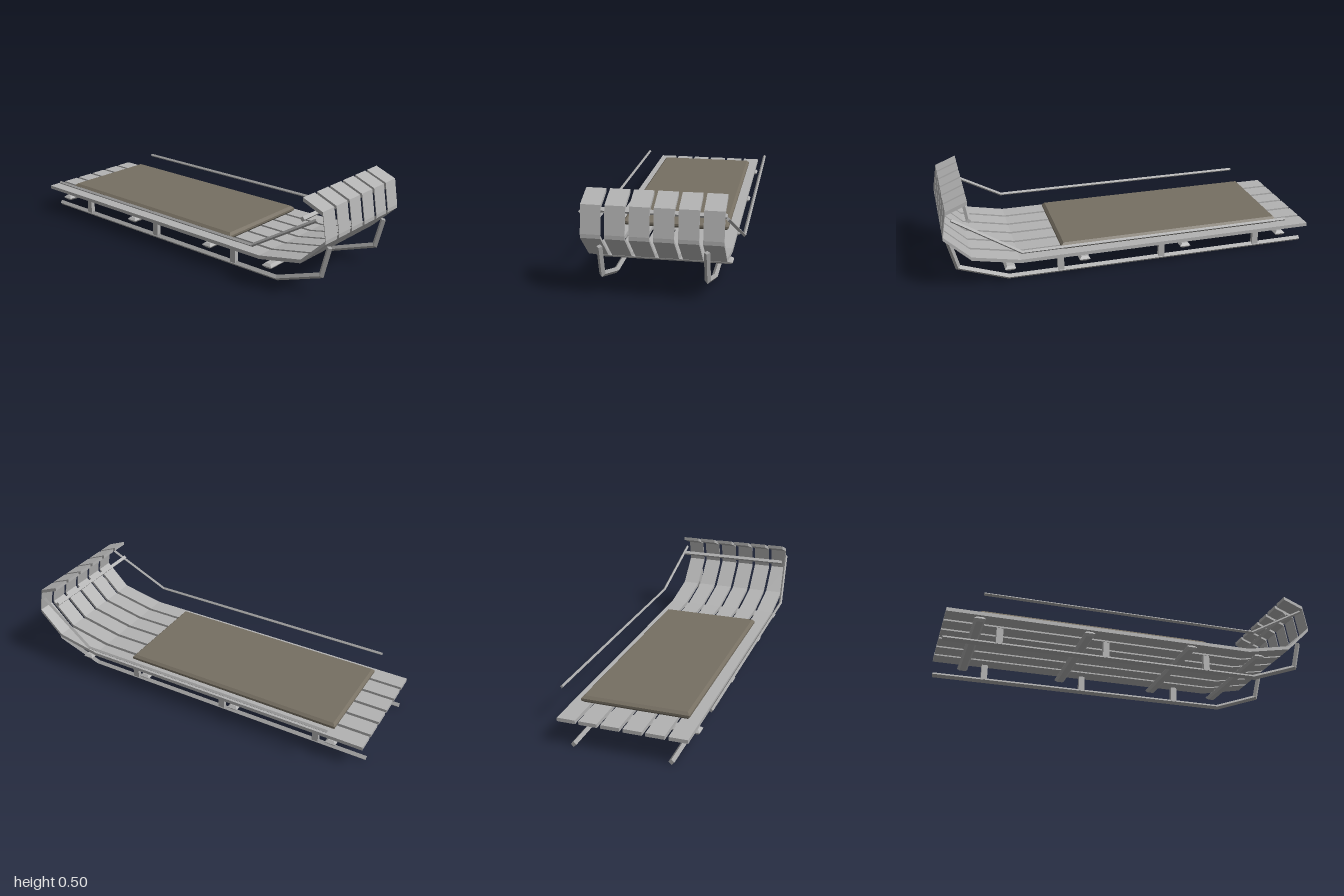
import * as THREE from 'three';
import { mergeGeometries } from 'three/addons/utils/BufferGeometryUtils.js';

const V = (x, y, z) => new THREE.Vector3(x, y, z);

// Square bar on edge (diamond section) swept along a path with mitred corners
function diamondBar(path, r) {
  const pos = [], idx = [], up = V(0, 1, 0), last = path.length - 1;
  path.forEach((p, i) => {
    const before = path[Math.max(i - 1, 0)], after = path[Math.min(i + 1, last)];
    const a = p.clone().sub(before).normalize(), b = after.clone().sub(p).normalize();
    const t = a.clone().add(b).normalize();
    const s = t.clone().cross(up).normalize(), n = s.clone().cross(t);
    const miter = i > 0 && i < last ? 1 / a.dot(t) : 1;
    for (const [cn, cs] of [[1, 0], [0, 1], [-1, 0], [0, -1]]) {
      pos.push(...p.clone().addScaledVector(n, cn * r * miter).addScaledVector(s, cs * r).toArray());
    }
  });
  for (let i = 0; i < last; i++) {
    for (let j = 0; j < 4; j++) {
      const a = i * 4 + j, b = i * 4 + (j + 1) % 4;
      idx.push(a, b, b + 4, a, b + 4, a + 4);
    }
  }
  const e = last * 4;
  idx.push(3, 2, 1, 3, 1, 0, e, e + 1, e + 2, e, e + 2, e + 3);
  const g = new THREE.BufferGeometry();
  g.setAttribute('position', new THREE.Float32BufferAttribute(pos, 3));
  g.setIndex(idx);
  const flat = g.toNonIndexed();
  flat.computeVertexNormals();
  return flat;
}

// Flat block with chamfered edges, centred on the origin
function chamferedBlock(w, h, d, c) {
  const x = w / 2 - c, z = d / 2 - c;
  const shape = new THREE.Shape([[-x, -z], [x, -z], [x, z], [-x, z]].map(p => new THREE.Vector2(...p)));
  const g = new THREE.ExtrudeGeometry(shape, {
    depth: h - 2 * c, bevelEnabled: true, bevelSegments: 1, bevelSize: c, bevelThickness: c,
  });
  return g.rotateX(-Math.PI / 2).center();
}

// Curved plank: one slanted block per straight run of the profile
function slatGeometry(profile, width, thick) {
  const parts = [], h = thick / 2;
  for (let i = 0; i < profile.length - 1; i++) {
    const [x0, y0] = profile[i], [x1, y1] = profile[i + 1];
    const shape = new THREE.Shape([
      new THREE.Vector2(x0, y0 - h), new THREE.Vector2(x1, y1 - h),
      new THREE.Vector2(x1, y1 + h), new THREE.Vector2(x0, y0 + h),
    ]);
    parts.push(new THREE.ExtrudeGeometry(shape, { depth: width, bevelEnabled: false }).translate(0, 0, -width / 2));
  }
  return mergeGeometries(parts);
}

export function createModel() {
  const model = new THREE.Group();
  model.name = 'toboggan';
  const material = (name, color) => {
    const m = new THREE.MeshStandardMaterial({ color });
    m.name = name;
    return m;
  };
  const wood = material('pale grey wood', 0xb2b2b2);
  const bar = material('grey bars', 0xa4a4a4);
  const fabric = material('brown cushion', 0x766f62);

  const add = (name, geometry, mat, x = 0, y = 0, z = 0) => {
    const mesh = new THREE.Mesh(geometry, mat);
    mesh.name = name;
    mesh.position.set(x, y, z);
    model.add(mesh);
  };

  // Six planks curling up at the nose
  const slat = slatGeometry(
    [[-1, 0.137], [0.62, 0.137], [0.865, 0.186], [0.998, 0.316], [0.975, 0.45], [0.865, 0.495]], 0.094, 0.019);
  for (let i = 0; i < 6; i++) add('slat', slat, wood, 0, 0, (i - 2.5) * 0.1118);

  // Cushion on the deck
  add('cushion', chamferedBlock(1.225, 0.037, 0.556, 0.013), fabric, -0.218, 0.166, -0.002);

  // Cross bars under the deck, and one behind the nose
  const crossBar = chamferedBlock(0.056, 0.027, 0.672, 0.012);
  for (const x of [-0.834, -0.275, 0.283, 0.674]) add('crossBar', crossBar, wood, x, 0.106, 0);
  add('noseBar', diamondBar([V(0.865, 0.398, -0.325), V(0.865, 0.398, 0.325)], 0.013), wood);

  // Runners, posts and hand rails on both sides
  const post = new THREE.BoxGeometry(0.034, 0.085, 0.024);
  for (const side of [1, -1]) {
    const z = side * 0.246;
    add('runner', diamondBar(
      [V(-1, 0.0165, z), V(0.675, 0.0165, z), V(0.932, 0.108, z), V(0.97, 0.26, z)], 0.0145), bar);
    for (const x of [-0.722, -0.166, 0.396]) add('post', post, wood, x, 0.0625, z);
    add('handRail', diamondBar(
      [V(-0.83, 0.218, side * 0.381), V(0.618, 0.218, side * 0.381), V(0.95, 0.416, side * 0.335)], 0.009), bar);
  }
  return model;
}
